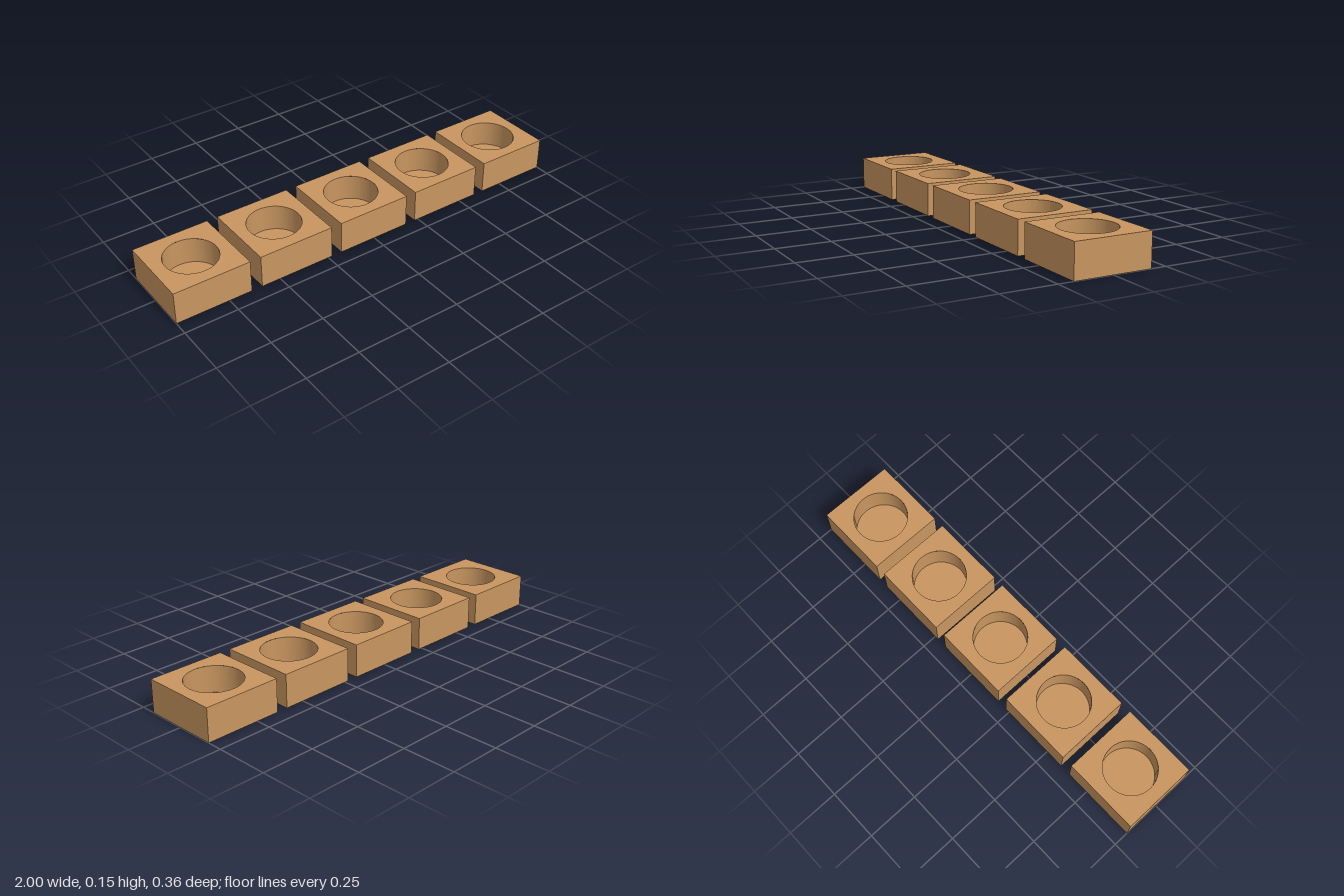
import * as THREE from 'three';
import { mergeGeometries } from 'three/addons/utils/BufferGeometryUtils.js';

const MM = 2 / 195; // five 35 mm blocks with 5 mm gaps span 2 units
const SIZE = 35 * MM, HEIGHT = 15 * MM, PITCH = 40 * MM;
const HOLE_DEPTH = 12 * MM;
const SEGMENTS = 64;

// Square block with a round blind hole sunk from the top
function blockGeometry(radius) {
  // Four sides and the bottom: a box without its top face
  const shell = new THREE.BoxGeometry(SIZE, HEIGHT, SIZE);
  const index = Array.from(shell.index.array);
  index.splice(12, 6);
  shell.setIndex(index);
  shell.translate(0, HEIGHT / 2, 0);

  // Top face with the round opening
  const h = SIZE / 2;
  const square = new THREE.Shape([
    new THREE.Vector2(-h, -h), new THREE.Vector2(h, -h),
    new THREE.Vector2(h, h), new THREE.Vector2(-h, h),
  ]);
  square.holes.push(new THREE.Path().absarc(0, 0, radius, 0, Math.PI * 2, true));
  const top = new THREE.ShapeGeometry(square, SEGMENTS);
  top.rotateX(-Math.PI / 2).translate(0, HEIGHT, 0);

  // Hole wall and floor, facing inwards
  const floor = HEIGHT - HOLE_DEPTH;
  const hole = new THREE.LatheGeometry([
    new THREE.Vector2(radius, HEIGHT),
    new THREE.Vector2(radius, floor),
    new THREE.Vector2(0, floor),
  ], SEGMENTS);

  const geometry = mergeGeometries([shell, top, hole].map((g) => g.toNonIndexed()));
  geometry.computeVertexNormals(); // faceted hole wall
  return geometry;
}

export function createModel() {
  const model = new THREE.Group();
  model.name = 'holeTestBlocks';
  const tan = new THREE.MeshStandardMaterial({ color: 0xc89660 });
  tan.name = 'tan';

  // Hole diameter grows by a quarter millimetre per block from right to left
  for (let i = 0; i < 5; i++) {
    const diameter = (23.5 + 0.25 * i) * MM;
    const block = new THREE.Mesh(blockGeometry(diameter / 2), tan);
    block.name = `block${i + 1}`;
    block.position.x = (i - 2) * PITCH;
    model.add(block);
  }
  return model;
}
